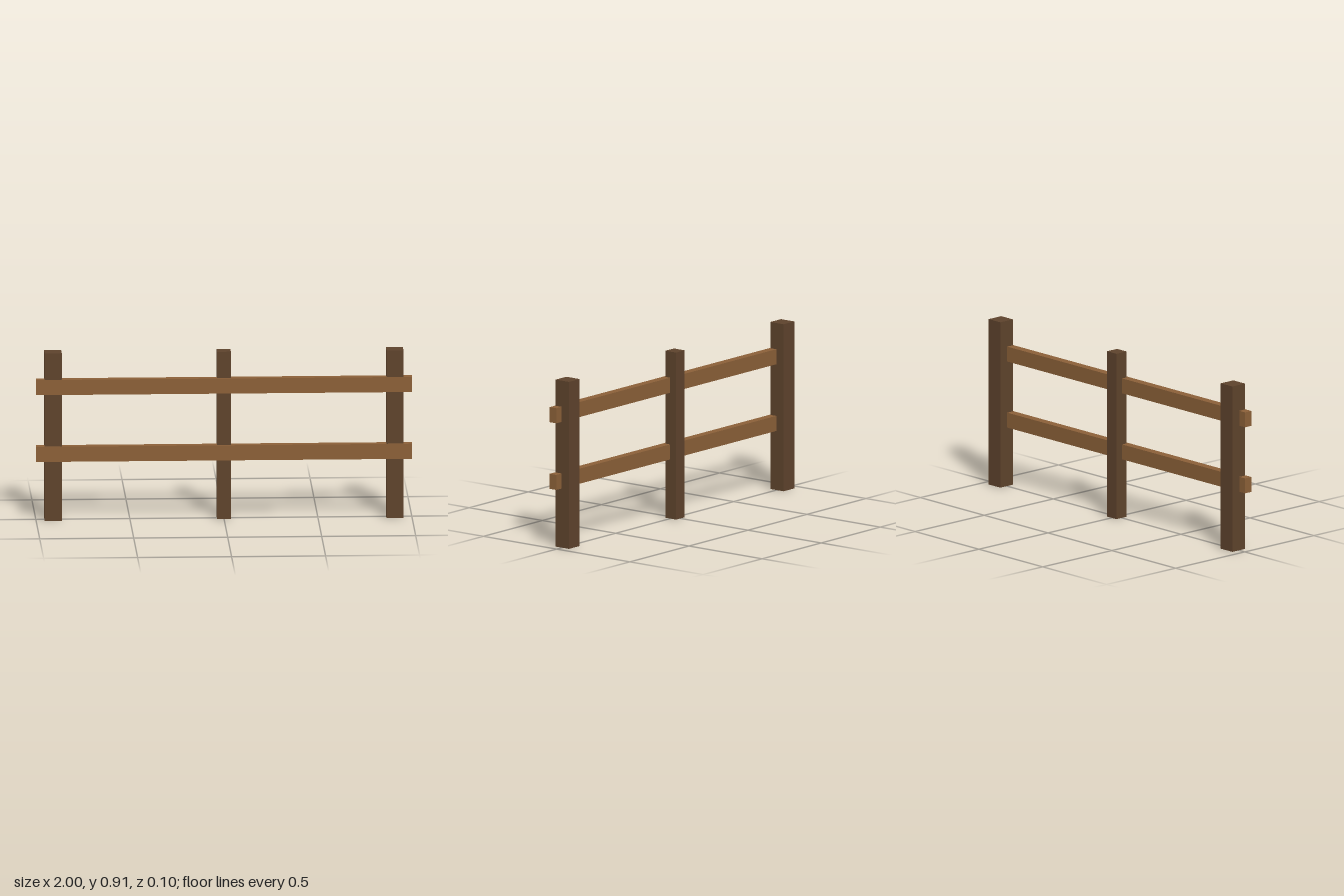
import * as THREE from 'three';

export function createModel() {
  const fence = new THREE.Group();
  fence.name = 'fence';

  const postWood = new THREE.MeshStandardMaterial({ color: 0x5e432c });
  postWood.name = 'dark post wood';
  const railWood = new THREE.MeshStandardMaterial({ color: 0x8b6038 });
  railWood.name = 'light rail wood';

  const addBeam = (name, size, position, material) => {
    const mesh = new THREE.Mesh(new THREE.BoxGeometry(...size), material);
    mesh.name = name;
    mesh.position.set(...position);
    fence.add(mesh);
  };

  // Three upright posts, the middle one slimmer
  const postHeight = 0.909;
  for (const [name, x, width] of [
    ['rightPost', -0.909, 0.091],
    ['middlePost', 0, 0.073],
    ['leftPost', 0.909, 0.091],
  ]) {
    addBeam(name, [width, postHeight, width], [x, postHeight / 2, -0.0023], postWood);
  }

  // Two horizontal rails let into the front of the posts
  for (const [name, y] of [['lowerRail', 0.3625], ['upperRail', 0.7255]]) {
    addBeam(name, [2, 0.082, 0.0455], [0, y, 0.025], railWood);
  }

  return fence;
}
